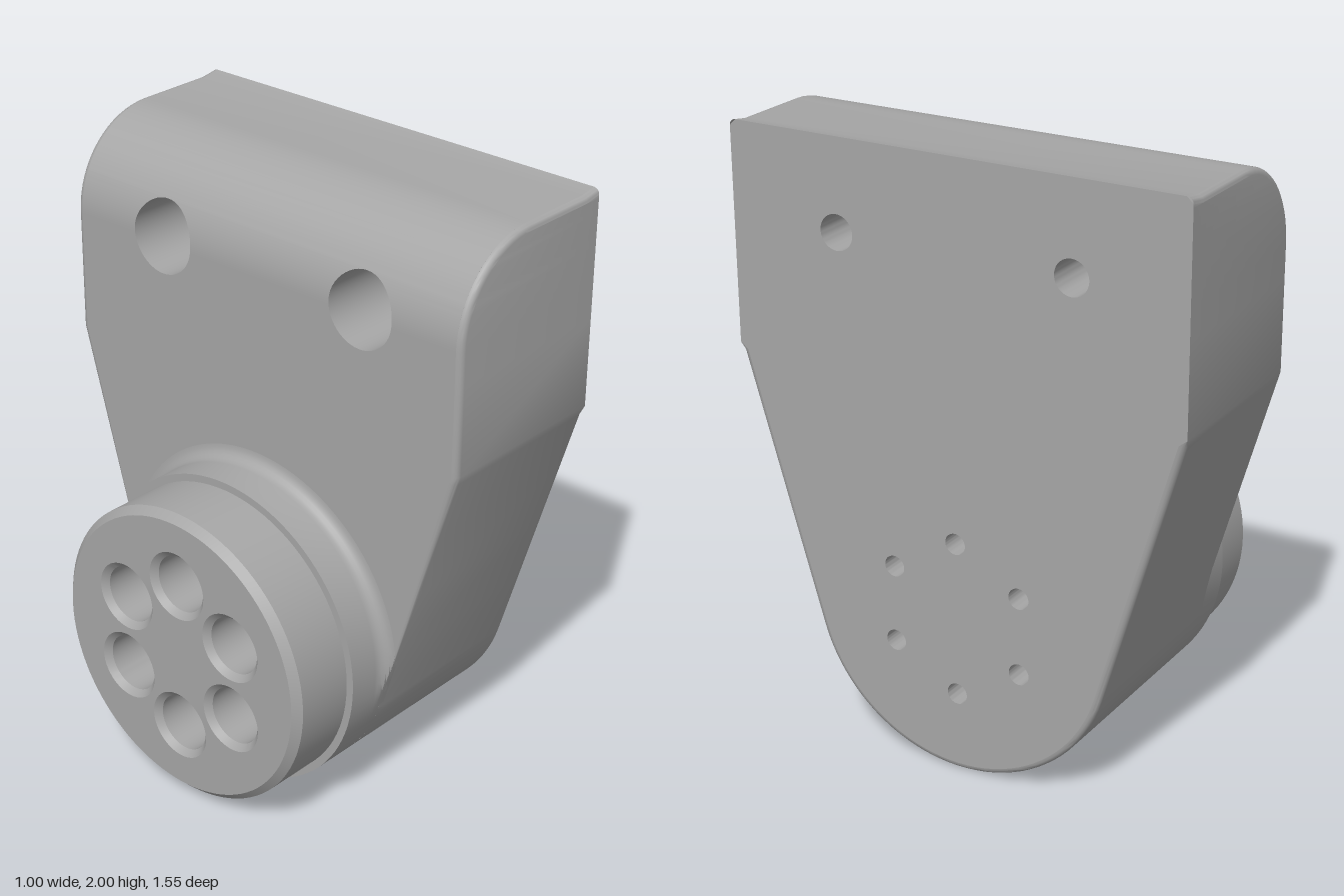
import * as THREE from 'three';
import { toCreasedNormals } from 'three/addons/utils/BufferGeometryUtils.js';

const XF = -0.125, XB = 0.5;           // mounting block thickness along x
const W = 0.775, TOP = 1.99, CORNER = 1.29;
const CY = 0.525, R = 0.525;           // rounded lower end, shared with the boss
const BEND = 0.3, EDGE = 0.02;         // large top bend and small edge rounding
const BOLT = { y: 1.705, z: 0.4, r: 0.12, hole: 0.057, floor: 0.2 };
const BEND_X = XF + BEND, BEND_Y = TOP - BEND;

const span = (n, a, b) => Array.from({ length: n + 1 }, (_, i) => a + (b - a) * i / n);

// Surface through rows of [x, y, z] points
function grid(rows) {
  const pos = [];
  for (let i = 0; i + 1 < rows.length; i++) {
    for (let j = 0; j + 1 < rows[i].length; j++) {
      const a = rows[i][j], b = rows[i][j + 1], c = rows[i + 1][j + 1], d = rows[i + 1][j];
      pos.push(...a, ...b, ...c, ...a, ...c, ...d);
    }
  }
  const g = new THREE.BufferGeometry();
  g.setAttribute('position', new THREE.Float32BufferAttribute(pos, 3));
  return toCreasedNormals(g, Math.PI / 6);
}

// Surface of revolution about an x-parallel axis; profile holds [x, radius]
function turned(cy, cz, profile, segments, limit = () => Infinity) {
  return grid(profile.map(([x, r]) => span(segments, 0, Math.PI * 2).map((a) => {
    const q = Math.min(r, limit(a));
    return [x, cy + q * Math.sin(a), cz + q * Math.cos(a)];
  })));
}

// Flat face at a given x, facing dir (+1 or -1), with round holes [z, y, r]
function face(points, holes, x, dir) {
  const shape = new THREE.Shape(points.map(([z, y]) => new THREE.Vector2(z, y)));
  for (const [z, y, r] of holes) {
    shape.holes.push(new THREE.Path().absarc(z, y, r, 0, Math.PI * 2, true));
  }
  return new THREE.ShapeGeometry(shape, 24).rotateY(dir * Math.PI / 2).translate(x, 0, 0);
}

export function createModel() {
  const model = new THREE.Group();
  const grey = new THREE.MeshStandardMaterial({ color: 0xa6a6a6, side: THREE.DoubleSide });
  grey.name = 'machined grey';
  const add = (name, geometry, parent = model) => {
    const mesh = new THREE.Mesh(geometry, grey);
    mesh.name = name;
    parent.add(mesh);
  };

  // Angle at which the slanted sides touch the lower arc
  const far = Math.hypot(W, CORNER - CY);
  const touch = Math.atan2(CORNER - CY, W) - Math.acos(R / far);
  const steps = span(4, 0, Math.PI / 2);

  // One wall section: rounded front edge, straight wall, rounded back edge
  const column = (z, y, mz, my, front, back) => [
    ...steps.map((t) => {
      const d = front * (1 - Math.sin(t));
      return [XF + front * (1 - Math.cos(t)), y - my * d, z - mz * d];
    }),
    ...steps.map((t) => {
      const d = back * (1 - Math.cos(t));
      return [XB - back * (1 - Math.sin(t)), y - my * d, z - mz * d];
    }),
  ];
  const lower = [];
  for (const a of span(20, -Math.PI / 2, touch)) {
    lower.push(column(R * Math.cos(a), CY + R * Math.sin(a), Math.cos(a), Math.sin(a), 0, EDGE));
  }
  const tz = R * Math.cos(touch), ty = CY + R * Math.sin(touch);
  for (const f of [0.25, 0.5, 0.75, 0.97]) {
    lower.push(column(tz + (W - tz) * f, ty + (CORNER - ty) * f,
      Math.cos(touch), Math.sin(touch), EDGE * f, EDGE));
  }
  lower.push(column(W, CORNER, 1, Math.tan(touch / 2), EDGE, 0));
  lower.push(column(W, BOLT.y - BOLT.r, 1, 0, EDGE, 0));

  // Wall sections following the top bend, ending on the back top corner
  const bent = (x, y, nx, ny) => {
    const front = steps.map((t) => {
      const d = EDGE * (1 - Math.cos(t));
      return [x - nx * d, y - ny * d, W - EDGE * (1 - Math.sin(t))];
    });
    const end = front[front.length - 1];
    return [...front, ...steps.map(() => [XB, end[1], W])];
  };
  const upper = span(16, 0, Math.PI / 2).map((a) => bent(
    BEND_X - BEND * Math.cos(a), BEND_Y + BEND * Math.sin(a), -Math.cos(a), Math.sin(a)));
  upper.push(bent(0.44, TOP, 0, 1), bent(XB, 2, 0, 1));

  const flip = (list) => list.slice(1).reverse().map((c) => c.map(([x, y, z]) => [x, y, -z]));
  const half = [...lower, ...upper];
  const block = new THREE.Group();
  block.name = 'mountingBlock';
  model.add(block);
  add('blockSides', grid([...flip(half), ...half]), block);

  // Screw positions around the boss axis
  const screws = span(5, 0, 5).map((i) => {
    const a = Math.PI / 2 + i * Math.PI / 3;
    return [0.257 * Math.cos(a), CY + 0.257 * Math.sin(a)];
  });

  // Back face with all through holes
  const rim = half.map((c) => c[c.length - 1]);
  rim.push(half[half.length - 1][0]);
  const backRim = [...flip([rim])].concat([]);
  const right = rim.map(([, y, z]) => [z, y]);
  const left = right.slice(1).reverse().map(([z, y]) => [-z, y]);
  add('blockBack', face([...left, ...right], [
    ...screws.map(([z, y]) => [z, y, 0.035]),
    ...[-1, 1].map((s) => [s * BOLT.z, BOLT.y, BOLT.hole]),
  ], XB, 1), block);

  // Flat front below the bolt holes, open behind the boss
  const fr = lower.map((c) => [c[0][2], c[0][1]]);
  const fl = fr.slice(1).reverse().map(([z, y]) => [-z, y]);
  add('blockFront', face([...fl, ...fr], [[0, CY, 0.5]], XF, -1), block);

  // Front skin beside the bolt holes, then over the bend to the back lip
  const frontX = (y) => (y < BEND_Y ? XF
    : BEND_X - Math.sqrt(Math.max(0, BEND ** 2 - (y - BEND_Y) ** 2)));
  const edge = W - EDGE;
  const arcs = span(24, 0, Math.PI);
  const strip = (from, to) => grid(arcs.map((t) => {
    const y = BOLT.y - BOLT.r * Math.cos(t), w = BOLT.r * Math.sin(t);
    return [[frontX(y), y, from(w)], [frontX(y), y, to(w)]];
  }));
  add('frontSkinRight', strip(() => -edge, (w) => -BOLT.z - w), block);
  add('frontSkinMiddle', strip((w) => -BOLT.z + w, (w) => BOLT.z - w), block);
  add('frontSkinLeft', strip((w) => BOLT.z + w, () => edge), block);
  const bendStart = Math.asin((BOLT.y + BOLT.r - BEND_Y) / BEND);
  const over = span(12, bendStart, Math.PI / 2).map((a) => [
    BEND_X - BEND * Math.cos(a), BEND_Y + BEND * Math.sin(a)]);
  over.push([0.44, TOP], [XB, 2]);
  add('blockTop', grid(over.map(([x, y]) => [[x, y, -edge], [x, y, edge]])), block);

  // Counterbored bolt holes; their mouths follow the bend
  for (const s of [-1, 1]) {
    const ring = span(48, 0, Math.PI * 2);
    const at = (r, x) => ring.map((a) => {
      const y = BOLT.y + r * Math.sin(a);
      return [x ?? frontX(y), y, s * BOLT.z + r * Math.cos(a)];
    });
    add('boltHole', grid([at(BOLT.r), at(BOLT.r, BOLT.floor),
      at(BOLT.hole, BOLT.floor), at(BOLT.hole, XB)]), block);
  }

  // Stepped round boss with a fillet that stays inside the block outline
  const boss = new THREE.Group();
  boss.name = 'boss';
  model.add(boss);
  const outline = (a) => {
    const up = Math.asin(Math.sin(a));  // same angle folded to the +z side
    return up <= touch ? R : R / Math.max(0.1, Math.cos(up - touch));
  };
  const fillet = span(6, 0, Math.PI / 2).map((t) => [
    XF - 0.045 * (1 - Math.sin(t)), R + 0.045 * (1 - Math.cos(t))]);
  const profile = [[-0.5, 0.475], [-0.475, 0.5], [-0.275, 0.5], [-0.275, R],
    ...fillet, [XF + 0.02, R + 0.045]].reverse();
  add('bossSide', turned(CY, 0, profile, 96, outline), boss);
  const disc = span(95, 0, 95).map((i) => {
    const a = i * Math.PI / 48;
    return [0.475 * Math.cos(a), CY + 0.475 * Math.sin(a)];
  });
  add('bossFace', face(disc, screws.map(([z, y]) => [z, y, 0.115]), -0.5, -1), boss);

  // Chamfered, counterbored screw holes
  for (const [z, y] of screws) {
    add('screwHole', turned(y, z, [[-0.5, 0.115], [-0.48, 0.095], [0.2, 0.095],
      [0.2, 0.035], [XB, 0.035]], 48), boss);
  }
  return model;
}
